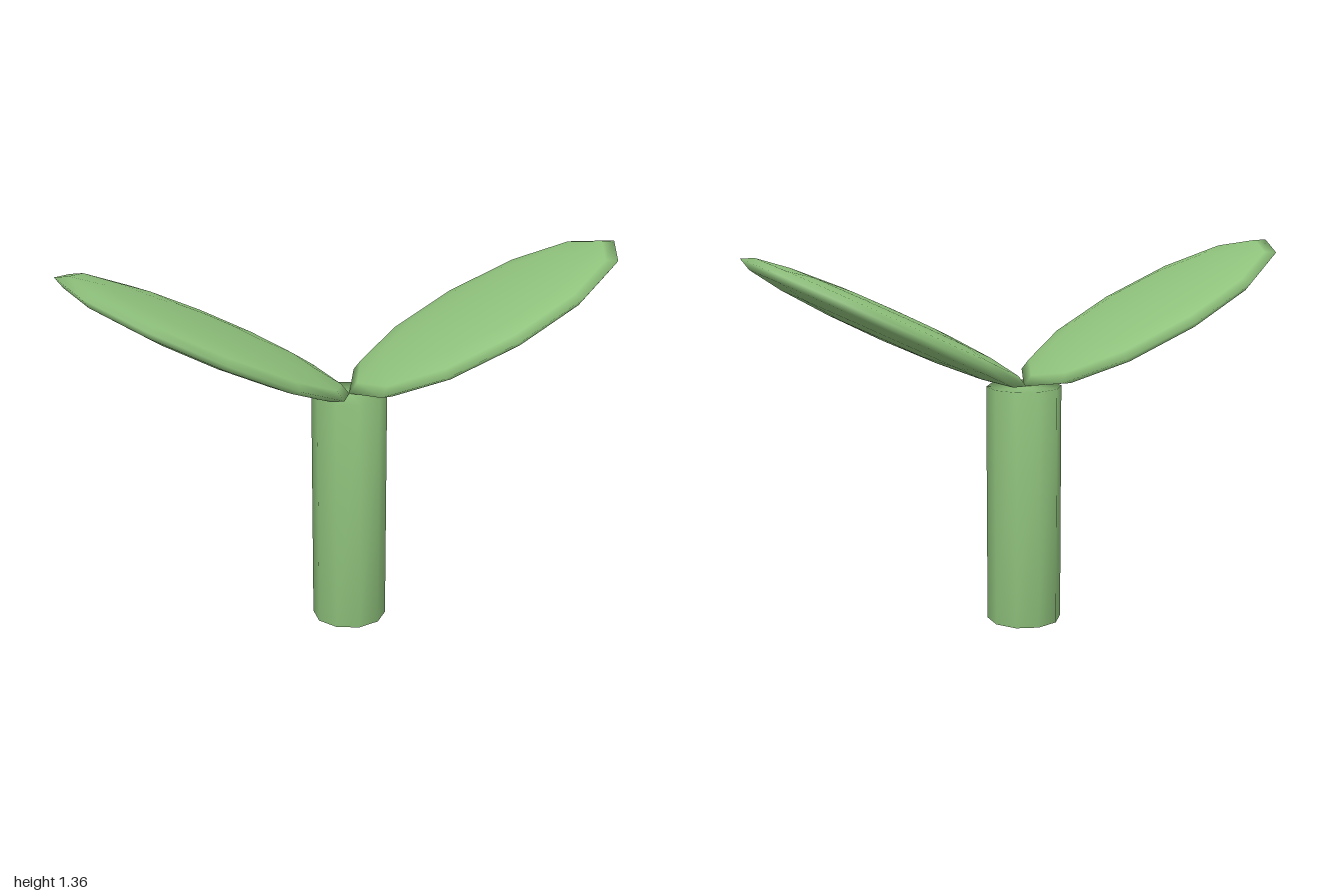
import * as THREE from 'three';
import { mergeVertices } from 'three/addons/utils/BufferGeometryUtils.js';

// Share vertices so shading runs smoothly over every edge
function smooth(geometry) {
  geometry.deleteAttribute('uv');
  geometry.deleteAttribute('normal');
  const merged = mergeVertices(geometry, 1e-4);
  merged.computeVertexNormals();
  return merged;
}

export function createModel() {
  const group = new THREE.Group();
  group.name = 'sprout';
  const green = new THREE.MeshStandardMaterial({ color: 0x8fc27c });

  // Ten-sided stem
  const stemHeight = 0.867;
  const stem = new THREE.Mesh(
    smooth(new THREE.CylinderGeometry(0.135, 0.135, stemHeight, 10)), green);
  stem.name = 'stem';
  stem.position.y = stemHeight / 2;
  group.add(stem);

  // Two flattened leaves rising outwards from the top of the stem
  const leafGeometry = smooth(new THREE.SphereGeometry(1, 12, 8).scale(0.557, 0.056, 0.345));
  for (const side of [1, -1]) {
    const leaf = new THREE.Mesh(leafGeometry, green);
    leaf.name = side > 0 ? 'leftLeaf' : 'rightLeaf';
    leaf.position.set(side * 0.5, 1.111, 0);
    leaf.rotation.z = side * 0.456;
    group.add(leaf);
  }
  return group;
}
